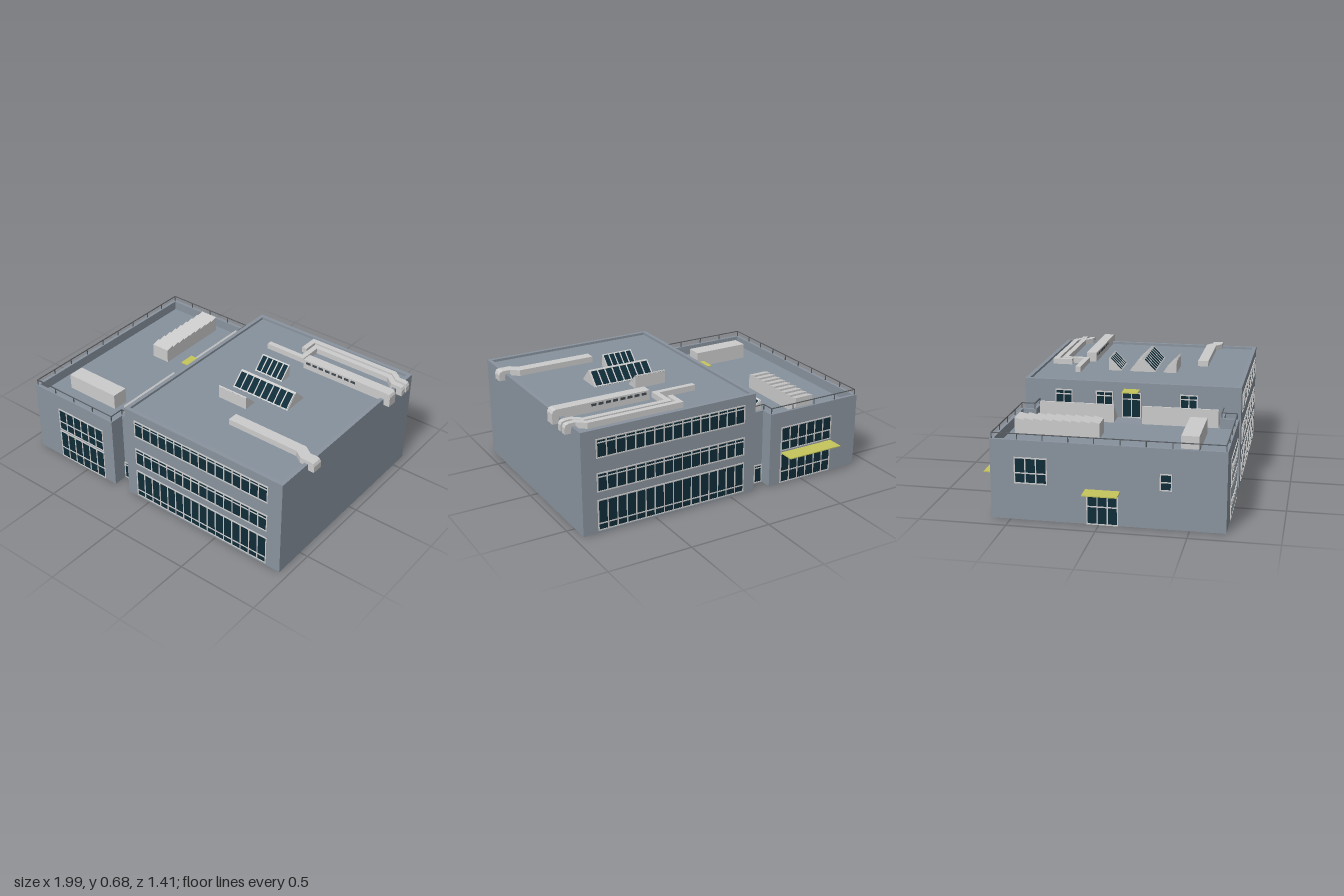
import * as THREE from 'three';

const mat = (color) => new THREE.MeshStandardMaterial({ color });
const WALL = mat(0x8a949f), ROOF = mat(0x87929c), GLASS = mat(0x0e2c38), FRAME = mat(0xcccccc),
  METAL = mat(0xcccccc), CANOPY = mat(0xc6c55c), RAIL = mat(0x5a5f64), DARK = mat(0x444a50);

// box given by its min and max corners
function box(parent, name, m, x0, x1, y0, y1, z0, z1) {
  const b = new THREE.Mesh(new THREE.BoxGeometry(x1 - x0, y1 - y0, z1 - z0), m);
  b.position.set((x0 + x1) / 2, (y0 + y1) / 2, (z0 + z1) / 2);
  b.name = name;
  parent.add(b);
  return b;
}

// glazed panel facing local +z, with mullions and transoms
function glazing(name, w, h, cols, transoms = []) {
  const g = new THREE.Group();
  g.name = name;
  const t = 0.0035, d = 0.005;
  box(g, 'glass', GLASS, -w / 2, w / 2, -h / 2, h / 2, -0.004, 0.002);
  for (let i = 0; i <= cols; i++) {
    const x = -w / 2 + (w * i) / cols;
    box(g, 'mullion', FRAME, x - t, x + t, -h / 2, h / 2, -0.004, d);
  }
  for (const f of [0, ...transoms, 1]) {
    const y = -h / 2 + h * f;
    box(g, 'transom', FRAME, -w / 2 - t, w / 2 + t, y - t, y + t, -0.004, d);
  }
  return g;
}

function place(parent, obj, x, y, z, rotY = 0) {
  obj.position.set(x, y, z);
  obj.rotation.y = rotY;
  parent.add(obj);
  return obj;
}

// upright slab along an axis-aligned plan path
function pathWall(parent, name, m, path, t, y0, y1) {
  for (let i = 0; i < path.length - 1; i++) {
    const [ax, az] = path[i], [bx, bz] = path[i + 1];
    box(parent, name, m, Math.min(ax, bx) - t / 2, Math.max(ax, bx) + t / 2, y0, y1,
      Math.min(az, bz) - t / 2, Math.max(az, bz) + t / 2);
  }
}

// outline in (x, y) pushed along z
function extrudeXY(points, depth) {
  const shape = new THREE.Shape(points.map(([x, y]) => new THREE.Vector2(x, y)));
  return new THREE.ExtrudeGeometry(shape, { depth, bevelEnabled: false }).translate(0, 0, -depth / 2);
}

// wedge skylight: upright back at local z = 0, glazed slope falling to +z
function skylight(length, run, h, cols) {
  const g = new THREE.Group();
  g.name = 'skylight';
  const body = new THREE.Mesh(extrudeXY([[0, 0], [run, 0], [0, h]], length).rotateY(-Math.PI / 2), METAL);
  body.name = 'skylightBody';
  g.add(body);
  const pane = glazing('skylightGlazing', length * 0.97, Math.hypot(run, h) * 0.9, cols);
  pane.position.set(0, h / 2, run / 2);
  pane.rotation.x = -Math.atan2(run, h);
  g.add(pane);
  return g;
}

// rectangular duct following a plan path, ending in an elbow over the wall
function duct(path, w, y0, y1) {
  const g = new THREE.Group();
  g.name = 'roofDuct';
  const p = path.map(([x, z]) => new THREE.Vector2(x, -z));
  const left = [], right = [];
  p.forEach((c, i) => {
    const a = c.clone().sub(p[Math.max(i - 1, 0)]).normalize();
    const b = p[Math.min(i + 1, p.length - 1)].clone().sub(c).normalize();
    if (i === 0) a.copy(b);
    if (i === p.length - 1) b.copy(a);
    const n = new THREE.Vector2(-a.y - b.y, a.x + b.x).normalize();
    const k = w / 2 / (n.x * -a.y + n.y * a.x);
    left.push(c.clone().addScaledVector(n, k));
    right.unshift(c.clone().addScaledVector(n, -k));
  });
  const geo = new THREE.ExtrudeGeometry(new THREE.Shape([...left, ...right]), { depth: y1 - y0, bevelEnabled: false });
  const run = new THREE.Mesh(geo.rotateX(-Math.PI / 2).translate(0, y0, 0), METAL);
  run.name = 'ductRun';
  g.add(run);
  const [ex, ez] = path[path.length - 1];
  const elbow = new THREE.Mesh(extrudeXY([[ex, y0], [ex, y1], [0.965, y1], [0.982, y1 - 0.006],
    [0.99, y1 - 0.022], [0.99, 0.577], [0.953, 0.577], [0.953, y0]], w), METAL);
  elbow.position.z = ez;
  elbow.name = 'ductElbow';
  g.add(elbow);
  return g;
}

export function createModel() {
  const model = new THREE.Group();
  model.name = 'officeBuilding';
  const PI = Math.PI;

  // storeys of the tall block, low block and the link between them
  for (let f = 0; f < 3; f++) box(model, 'tallBlockStorey', WALL, -0.16, 0.95, f * 0.2, f * 0.2 + 0.2, -0.61, 0.7);
  for (let f = 0; f < 2; f++) {
    box(model, 'lowBlockStorey', WALL, -0.9, -0.27, f * 0.2, f * 0.2 + 0.2, -0.61, 0.7);
    box(model, 'linkStorey', WALL, -0.27, -0.16, f * 0.2, f * 0.2 + 0.2, -0.53, 0.61);
  }
  box(model, 'tallRoof', ROOF, -0.14, 0.93, 0.595, 0.601, -0.59, 0.68);
  box(model, 'lowRoof', ROOF, -0.88, -0.29, 0.395, 0.401, -0.59, 0.68);

  // parapets
  pathWall(model, 'tallParapet', WALL, [[-0.148, -0.598], [0.938, -0.598], [0.938, 0.688], [-0.148, 0.688], [-0.148, -0.598]], 0.024, 0.6, 0.616);
  const edge = [[-0.17, -0.52], [-0.28, -0.52], [-0.28, -0.6], [-0.89, -0.6], [-0.89, 0.69], [-0.28, 0.69], [-0.28, 0.6], [-0.17, 0.6]];
  pathWall(model, 'lowParapet', WALL, edge, 0.02, 0.4, 0.46);

  // railing over the low parapet
  pathWall(model, 'railing', RAIL, edge, 0.005, 0.491, 0.496);
  for (let i = 0; i < edge.length - 1; i++) {
    const [ax, az] = edge[i], [bx, bz] = edge[i + 1];
    const n = Math.max(1, Math.round(Math.hypot(bx - ax, bz - az) / 0.15));
    for (let k = 0; k < n; k++) {
      const x = ax + ((bx - ax) * k) / n, z = az + ((bz - az) * k) / n;
      box(model, 'railPost', RAIL, x - 0.0025, x + 0.0025, 0.46, 0.493, z - 0.0025, z + 0.0025);
    }
  }

  // front and back windows
  for (const [z, r] of [[0.7, 0], [-0.61, PI]]) {
    place(model, glazing('groundWindows', 0.94, 0.18, 16, [0.22]), 0.387, 0.108, z, r);
    place(model, glazing('middleWindows', 0.94, 0.106, 16, [0.8]), 0.387, 0.305, z, r);
    place(model, glazing('topWindows', 0.94, 0.106, 16, [0.82]), 0.387, 0.505, z, r);
    place(model, glazing('lowBlockGroundWindows', 0.36, 0.19, 6, [0.37]), -0.53, 0.103, z, r);
    place(model, glazing('lowBlockUpperWindows', 0.36, 0.145, 6, [0.4]), -0.53, 0.288, z, r);
    place(model, glazing('linkDoor', 0.1, 0.11, 2, [0.85]), -0.217, 0.058, z > 0 ? 0.61 : -0.53, r);
  }

  // windows and doors facing left-hand side of the plan
  const side = (name, w, h, cols, tr, x, y, z) => place(model, glazing(name, w, h, cols, tr), x, y, z, -PI / 2);
  side('sideWindow', 0.18, 0.145, 3, [0.4], -0.9, 0.288, -0.38);
  side('sideDoor', 0.17, 0.17, 3, [0.6], -0.9, 0.088, 0.02);
  side('smallSideWindow', 0.06, 0.09, 1, [0.5], -0.9, 0.27, 0.37);
  side('terraceDoor', 0.11, 0.15, 2, [0.75], -0.16, 0.478, 0.045);
  for (const z of [-0.37, -0.12, 0.39]) side('terraceWindow', 0.1, 0.1, 2, [0.75], -0.16, 0.505, z);

  // canopies
  for (const [x0, x1, y, z0, z1] of [[-0.715, -0.35, 0.2, -0.71, -0.61], [-1, -0.9, 0.2, -0.075, 0.12], [-0.245, -0.15, 0.575, 0, 0.095]])
    box(model, 'canopy', CANOPY, x0, x1, y - 0.003, y + 0.003, z0, z1);

  // glazed strips over the link
  place(model, skylight(0.45, 0.12, 0.11, 11), -0.28, 0.4, -0.265, PI / 2);
  place(model, skylight(0.45, 0.12, 0.11, 11), -0.28, 0.4, 0.355, PI / 2);

  // skylights on the tall roof
  place(model, skylight(0.195, 0.08, 0.08, 5), 0.28, 0.6, -0.163);
  place(model, skylight(0.39, 0.08, 0.08, 8), 0.377, 0.6, 0.052);
  place(model, skylight(0.39, 0.08, 0.08, 8), 0.377, 0.6, 0.052, PI);
  place(model, skylight(0.195, 0.08, 0.08, 5), 0.28, 0.6, 0.265, PI);

  // ventilation units on the low roof
  box(model, 'ventUnit', METAL, -0.77, -0.405, 0.4, 0.497, 0.43, 0.53);
  box(model, 'louvredUnit', METAL, -0.61, -0.49, 0.4, 0.488, -0.55, -0.055);
  for (let i = 0; i < 9; i++) {
    const z = -0.55 + i * 0.055;
    const slat = new THREE.Mesh(extrudeXY([[0, 0], [0.055, 0], [0, 0.012]], 0.12).rotateY(-PI / 2), METAL);
    slat.name = 'louvre';
    place(model, slat, -0.55, 0.488, z);
  }

  // ducts on the tall roof
  model.add(duct([[0.39, 0.405], [0.86, 0.405], [0.91, 0.44], [0.955, 0.44]], 0.065, 0.6, 0.636));
  model.add(duct([[0.39, -0.32], [0.955, -0.32]], 0.064, 0.6, 0.66));
  model.add(duct([[0.3, -0.425], [0.3, -0.533], [0.87, -0.533], [0.92, -0.492], [0.955, -0.492]], 0.033, 0.602, 0.636));
  model.add(duct([[0.095, -0.343], [0.347, -0.343], [0.347, -0.485], [0.87, -0.485], [0.92, -0.442], [0.955, -0.442]], 0.033, 0.602, 0.636));
  for (let i = 0; i < 8; i++)
    box(model, 'ductGrille', DARK, 0.41 + i * 0.045, 0.44 + i * 0.045, 0.635, 0.65, -0.3535, -0.2865);

  return model;
}
